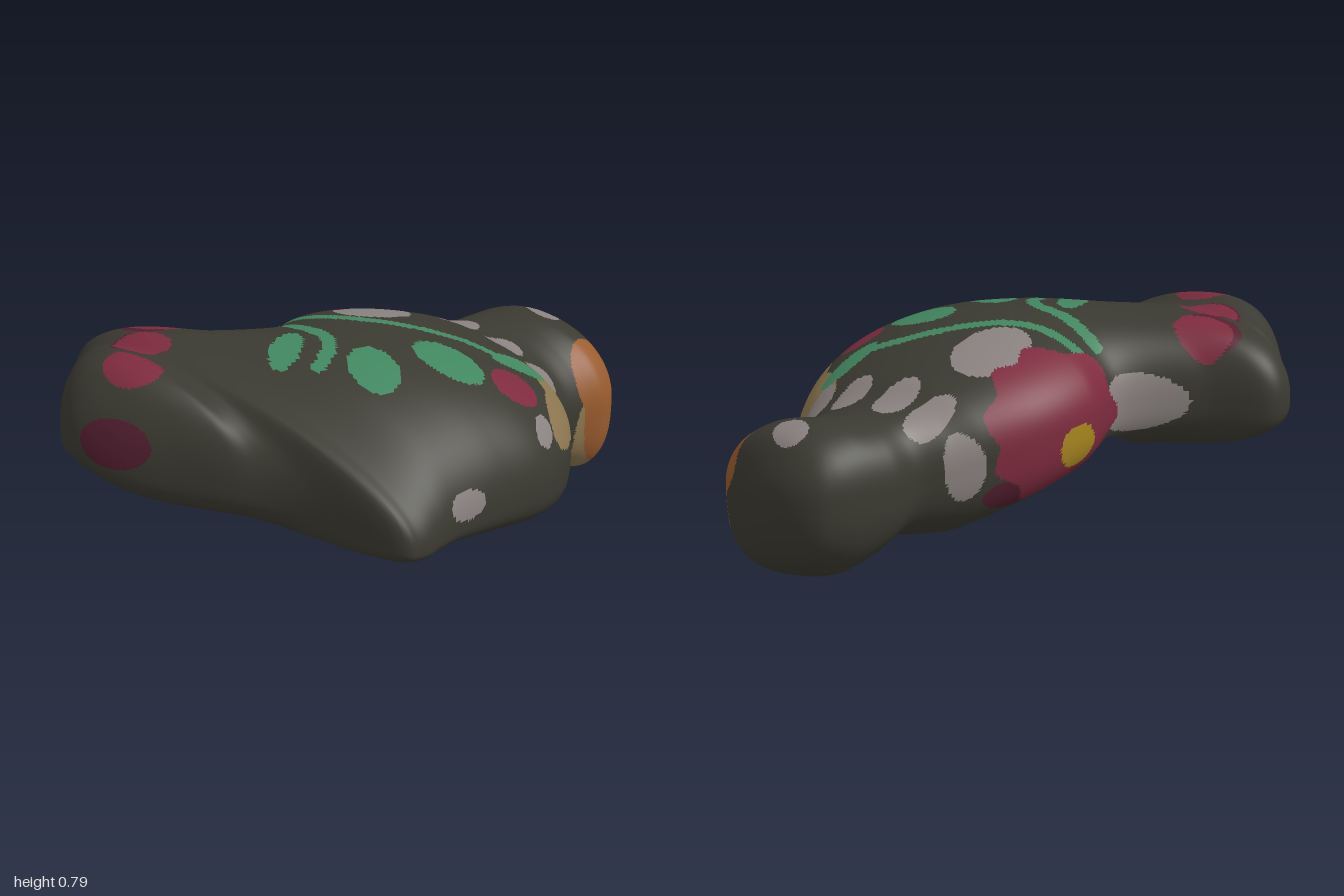
import * as THREE from 'three';

// Cross-sections along z: z, xMin, xMax, side height at xMin, side height at xMax, top, bottom
const STATIONS = [
  [-1, 0.16, 0.16, 0.38, 0.38, 0.38, 0.38],
  [-0.96, 0.01, 0.36, 0.39, 0.35, 0.51, 0.17],
  [-0.9, -0.04, 0.51, 0.4, 0.32, 0.58, 0.09],
  [-0.8, -0.08, 0.55, 0.4, 0.3, 0.61, 0.04],
  [-0.7, -0.11, 0.51, 0.4, 0.3, 0.6, 0.08],
  [-0.6, -0.12, 0.49, 0.41, 0.33, 0.6, 0.13],
  [-0.5, -0.19, 0.56, 0.43, 0.35, 0.62, 0.12],
  [-0.4, -0.26, 0.65, 0.46, 0.36, 0.67, 0.1],
  [-0.2, -0.36, 0.77, 0.5, 0.37, 0.74, 0.14],
  [0, -0.4, 0.82, 0.52, 0.38, 0.785, 0.19],
  [0.2, -0.38, 0.79, 0.53, 0.38, 0.8, 0.23],
  [0.4, -0.6, 0.75, 0.54, 0.37, 0.795, 0.265],
  [0.5, -0.8, 0.745, 0.53, 0.36, 0.785, 0.28],
  [0.6, -0.825, 0.735, 0.53, 0.35, 0.76, 0.295],
  [0.67, -0.78, 0.67, 0.52, 0.37, 0.745, 0.32],
  [0.7, -0.755, 0.4, 0.52, 0.4, 0.755, 0.33],
  [0.74, -0.72, 0.24, 0.51, 0.43, 0.775, 0.34],
  [0.8, -0.68, 0.12, 0.5, 0.46, 0.8, 0.35],
  [0.9, -0.6, -0.08, 0.5, 0.48, 0.755, 0.38],
  [1, -0.4, -0.4, 0.51, 0.51, 0.51, 0.51],
];
const RINGS = 260, SIDES = 240;

// Opening in the underside, as x, z corners
const OPENING = [[0.64, 0.2], [0.37, -0.33], [-0.33, -0.02], [-0.37, 0.43], [0.35, 0.6]];

// Painted spots by facing: part, centre (2), radii (2), optional turn. The first hit wins.
// Seen from above, in x, z
const TOP_SPOTS = [
  ['redPetals', -0.53, 0.48, 0.11, 0.08, -0.2],
  ['redPetals', -0.44, 0.65, 0.11, 0.08, -0.2],
  ['redPetals', -0.31, 0.82, 0.11, 0.08, -0.2],
  ['redPetals', 0.6, -0.1, 0.08, 0.1, -0.4],
  ['darkPetals', -0.55, 0.51, 0.11, 0.08],
  ['darkPetals', -0.46, 0.66, 0.1, 0.08],
  ['greyPetals', -0.06, -0.15, 0.13, 0.16],
  ['greyPetals', 0.21, -0.87, 0.085, 0.055, 0.4],
  ['greyPetals', -0.08, -0.5, 0.055, 0.1, 0.3],
  ['greyPetals', 0.08, -0.49, 0.07, 0.1],
  ['greyPetals', 0.29, -0.49, 0.065, 0.09, -0.15],
  ['greyPetals', 0.45, -0.5, 0.055, 0.09, -0.3],
  ['leaves', 0.42, 0.04, 0.14, 0.1, 0.1],
  ['leaves', 0.3, 0.3, 0.13, 0.085, 0.6],
  ['leaves', 0, 0.4, 0.055, 0.125, -0.5],
  ['leaves', 0.48, -0.3, 0.06, 0.12, 0.2],
];
// Seen from the model's left, in z, y
const LEFT_SPOTS = [
  ['greyPetals', 0.37, 0.43, 0.075, 0.05],
  ['greyPetals', -0.47, 0.26, 0.07, 0.05],
  ['greyPetals', -0.51, 0.41, 0.035, 0.04],
  ['greyPetals', -0.06, 0.54, 0.06, 0.04, -0.3],
  ['beak', -0.815, 0.4, 0.115, 0.15],
  ['beak', -0.81, 0.27, 0.095, 0.19],
  ['tanPatches', -0.79, 0.22, 0.115, 0.18],
  ['tanPatches', -0.38, 0.49, 0.13, 0.11],
  ['tanPatches', -0.25, 0.5, 0.14, 0.075],
  ['tanPatches', -0.22, 0.27, 0.02, 0.018],
];
// Seen from the model's right, in z, y
const RIGHT_SPOTS = [
  ['darkPetals', -0.3, 0.32, 0.11, 0.06],
  ['greyPetals', 0.24, 0.53, 0.13, 0.11],
  ['greyPetals', -0.47, 0.44, 0.06, 0.12],
];
// Seen from the front, in x, y
const FRONT_SPOTS = [['darkPetals', -0.27, 0.57, 0.13, 0.085]];

// Painted stems on the back, as x, z points
const STEMS = [
  [[-0.27, 0.08], [-0.1, 0.07], [0.05, 0.01], [0.2, -0.1], [0.33, -0.19], [0.42, -0.23], [0.5, -0.35]],
  [[-0.27, 0.18], [-0.1, 0.22], [0.05, 0.25], [0.12, 0.32], [0.16, 0.42]],
].map((path) => new THREE.CatmullRomCurve3(path.map(([x, z]) => new THREE.Vector3(x, 0, z))).getPoints(60));

const COLOURS = {
  shell: ['charcoal', 0x3b3a31],
  leaves: ['green', 0x418760],
  redPetals: ['crimson', 0x7d2b3d],
  darkPetals: ['dark crimson', 0x541f30],
  greyPetals: ['warm grey', 0x8a8280],
  beak: ['orange', 0x985b2d],
  tanPatches: ['tan', 0x8c7650],
  flowerCentre: ['yellow', 0xa8861f],
};

// Smooth interpolation between stations, spaced by angle so both ends are round
const angle = (z) => Math.acos(-z);
function sectionAt(s) {
  const last = STATIONS.length - 1;
  let k = 0;
  while (k < last - 1 && angle(STATIONS[k + 1][0]) < s) k++;
  const at = (i) => STATIONS[Math.min(last, Math.max(0, i))];
  const s1 = angle(at(k)[0]), s2 = angle(at(k + 1)[0]), h = s2 - s1, f = (s - s1) / h;
  const slope = (i, c) => {
    const a = at(i - 1), b = at(i + 1);
    return (b[c] - a[c]) / (angle(b[0]) - angle(a[0]));
  };
  return STATIONS[0].map((_, c) => {
    const f2 = f * f, f3 = f2 * f;
    return (2 * f3 - 3 * f2 + 1) * at(k)[c] + (f3 - 2 * f2 + f) * h * slope(k, c)
      + (3 * f2 - 2 * f3) * at(k + 1)[c] + (f3 - f2) * h * slope(k + 1, c);
  });
}

// One point of the rounded section; top and bottom tilt down towards +x
function surfacePoint(section, s, t) {
  const [, x0, x1, y0, y1, top, bottom] = section;
  const c = Math.cos(t), n = Math.sin(t), z = -Math.cos(s);
  const u = Math.sign(c) * Math.abs(c) ** (n > 0 ? 0.9 : 0.77);
  const middle = THREE.MathUtils.lerp(y0, y1, (u + 1) / 2);
  const ease = Math.max(0, Math.sin(s)) ** 0.5;
  const topTilt = 0.07 + 0.1 * Math.exp(-(((z - 0.63) / 0.13) ** 2));
  const bottomTilt = 0.05 + 0.03 * THREE.MathUtils.smoothstep(-z, 0.5, 0.8);
  const target = n > 0 ? top - topTilt * ease * u : bottom - bottomTilt * ease * u;
  const rise = Math.abs(n) ** (n > 0 ? 0.9 : 0.68);
  return [(x0 + x1) / 2 + (u * (x1 - x0)) / 2, middle + (target - middle) * rise, z];
}

function inOpening(x, z) {
  let inside = false;
  OPENING.forEach(([ax, az], i) => {
    const [bx, bz] = OPENING[(i + 1) % OPENING.length];
    if (az > z !== bz > z && x < ((bx - ax) * (z - az)) / (bz - az) + ax) inside = !inside;
  });
  return inside;
}

// Name of the first spot that covers the point a, b
function spotAt(spots, a, b) {
  const spot = spots.find(([, ca, cb, ra, rb, turn = 0]) => {
    const da = a - ca, db = b - cb, c = Math.cos(turn), n = Math.sin(turn);
    return ((da * c + db * n) / ra) ** 2 + ((db * c - da * n) / rb) ** 2 < 1;
  });
  return spot && spot[0];
}

// Which painted part a surface point belongs to
function partAt([x, y, z], upper, onLeft) {
  if (!onLeft) {
    // Large scalloped flower on the flank, with its round centre
    if (Math.hypot(z + 0.07, y - 0.45) < 0.08) return 'flowerCentre';
    const reach = 0.285 + 0.02 * Math.cos(9 * Math.atan2(y - 0.5, z + 0.12));
    if (Math.hypot(x + 0.36, y - 0.54, z + 0.12) < reach) return 'redPetals';
  }
  const onStem = upper && STEMS.some((path) => path.some((p) => Math.hypot(p.x - x, p.z - z) < 0.026));
  return (upper && spotAt(TOP_SPOTS, x, z))
    || spotAt(onLeft ? LEFT_SPOTS : RIGHT_SPOTS, z, y)
    || (z > 0.4 && spotAt(FRONT_SPOTS, x, y))
    || (onStem ? 'leaves' : 'shell');
}

export function createModel() {
  // Closed rings from the head end to the tail end
  const points = [];
  for (let i = 0; i <= RINGS; i++) {
    const s = (Math.PI * i) / RINGS, section = sectionAt(s);
    for (let j = 0; j < SIDES; j++) points.push(surfacePoint(section, s, (2 * Math.PI * j) / SIDES));
  }

  // Sort the faces by painted part, leaving the opening empty
  const faces = Object.fromEntries(Object.keys(COLOURS).map((name) => [name, []]));
  const all = [];
  for (let i = 0; i < RINGS; i++) {
    for (let j = 0; j < SIDES; j++) {
      const k = (j + 1) % SIDES, a = i * SIDES + j, b = i * SIDES + k;
      const c = a + SIDES, d = b + SIDES;
      const upper = j < SIDES / 2, onLeft = Math.cos((2 * Math.PI * j) / SIDES) > 0;
      for (const tri of [[a, b, c], [b, d, c]]) {
        const centre = [0, 1, 2].map((n) => tri.reduce((sum, v) => sum + points[v][n], 0) / 3);
        all.push(...tri);
        if (!upper && inOpening(centre[0], centre[2])) continue;
        faces[partAt(centre, upper, onLeft)].push(...tri);
      }
    }
  }
  const surface = new THREE.BufferGeometry();
  surface.setAttribute('position', new THREE.Float32BufferAttribute(points.flat(), 3));
  surface.setIndex(all);
  surface.computeVertexNormals();

  // One mesh per painted part, sharing the smooth normals of the whole shell
  const group = new THREE.Group();
  group.name = 'paintedBird';
  for (const [name, [colourName, hex]] of Object.entries(COLOURS)) {
    const material = new THREE.MeshStandardMaterial({ color: hex, side: THREE.DoubleSide });
    material.name = colourName;
    surface.setIndex(faces[name]);
    const mesh = new THREE.Mesh(surface.toNonIndexed(), material);
    mesh.name = name;
    group.add(mesh);
  }
  return group;
}
